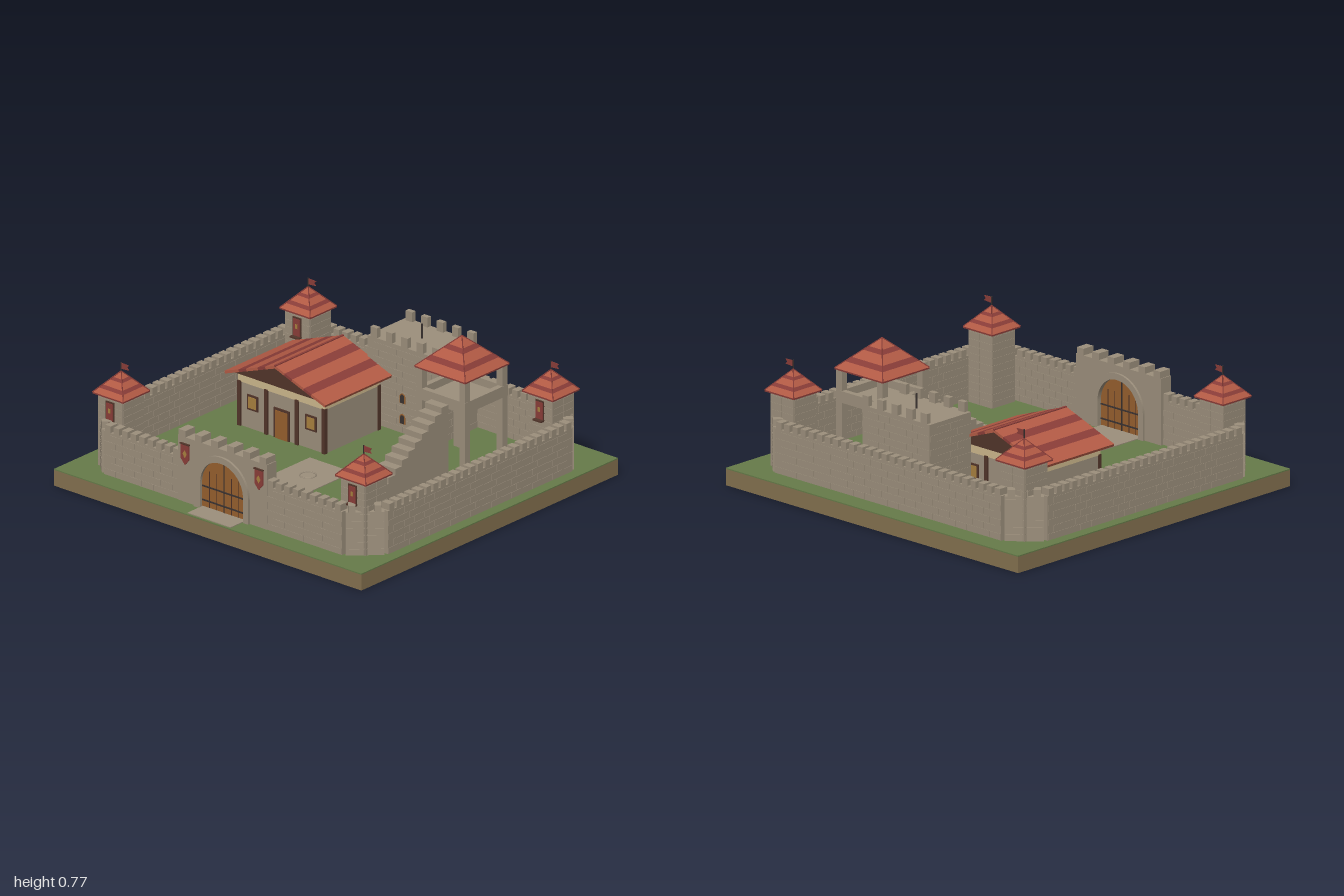
import * as THREE from 'three';
import { mergeGeometries } from 'three/addons/utils/BufferGeometryUtils.js';

const mat = (name, color) => Object.assign(new THREE.MeshStandardMaterial({ color }), { name });

export function createModel() {
  const stone = mat('stone', 0x9c8f7c), grass = mat('grass', 0x667b49), earth = mat('earth', 0x84714f);
  const tile = mat('roof tile', 0xb35b45), tileDark = mat('dark roof tile', 0x8a3d38);
  const wood = mat('door wood', 0x965f2e), timber = mat('dark timber', 0x52352a);
  const plaster = mat('plaster', 0xcdb88c), iron = mat('iron', 0x3a3230), gold = mat('gold', 0xa8803f);
  const model = new THREE.Group();
  model.name = 'fort';
  const G = 0.09; // ground level

  const add = (parent, name, geo, material, x = 0, y = 0, z = 0) => {
    const m = new THREE.Mesh(geo, material);
    m.name = name;
    m.position.set(x, y, z);
    parent.add(m);
    return m;
  };
  // box whose given y is its underside
  const box = (parent, name, material, w, h, d, x, y, z) =>
    add(parent, name, new THREE.BoxGeometry(w, h, d), material, x, y + h / 2, z);
  const group = (name, x = 0, y = 0, z = 0) => {
    const g = new THREE.Group();
    g.name = name;
    g.position.set(x, y, z);
    model.add(g);
    return g;
  };

  // Ground slab and path
  box(model, 'earthBase', earth, 2, 0.084, 1.92, 0, 0, 0);
  box(model, 'grassTop', grass, 2, 0.006, 1.92, 0, 0.084, 0);
  box(model, 'path', stone, 0.28, 0.004, 0.915, 0, G, 0.4925);
  const well = add(model, 'pathRing', new THREE.TorusGeometry(0.04, 0.004, 6, 24), stone, 0, G + 0.005, 0.21);
  well.rotation.x = Math.PI / 2;

  // Running-bond stones on both faces of a wall, centred on local x and z
  const bricks = (parent, length, height, depth) => {
    const list = [], rows = Math.round(height / 0.038), rowH = height / rows;
    for (let r = 0; r < rows; r++) {
      const n = Math.max(2, Math.floor(length / 0.075) - (r % 2)), pitch = length / Math.floor(length / 0.075 + 0.01);
      for (let i = 0; i < n; i++) for (const s of [-1, 1]) {
        const b = new THREE.BoxGeometry(pitch - 0.006, rowH - 0.006, 0.004);
        b.translate((i - (n - 1) / 2) * pitch, (r + 0.5) * rowH, s * depth / 2);
        list.push(b);
      }
    }
    return add(parent, 'stoneCourses', mergeGeometries(list), stone);
  };

  // Battlemented wall between two ground points
  const wall = (x1, z1, x2, z2) => {
    const g = group('curtainWall', (x1 + x2) / 2, G, (z1 + z2) / 2);
    g.rotation.y = -Math.atan2(z2 - z1, x2 - x1);
    const len = Math.hypot(x2 - x1, z2 - z1), n = Math.round(len / 0.055);
    box(g, 'wallBody', stone, len, 0.23, 0.05, 0, 0, 0);
    bricks(g, len, 0.22, 0.05);
    for (let i = 0; i < n; i++)
      box(g, 'merlon', stone, 0.036, 0.035, 0.05, ((i + 0.5) / n - 0.5) * len, 0.23, 0);
  };
  const X = 0.915, Z = 0.822, CX = 0.775, CZ = 0.69;
  for (const s of [-1, 1]) {
    wall(s * X, -CZ, s * X, CZ);
    wall(s * CX, Z, s * 0.28, Z);
    for (const t of [-1, 1]) wall(s * X, t * CZ, s * CX, t * Z);
  }
  wall(-CX, -Z, CX, -Z);

  // Banded pyramid roof with an eave slab
  const pyramid = (parent, size, y, h) => {
    box(parent, 'eave', tileDark, size, 0.008, size, 0, y, 0);
    const cuts = [0, 0.22, 0.36, 0.6, 0.72, 1];
    for (let i = 0; i < 5; i++) {
      const a = cuts[i], b = cuts[i + 1], r = size * Math.SQRT1_2, hh = (b - a) * h;
      const geo = new THREE.CylinderGeometry(r * (1 - b), r * (1 - a), hh, 4, 1, true).toNonIndexed();
      geo.rotateY(Math.PI / 4);
      geo.computeVertexNormals();
      add(parent, 'roofBand', geo, i % 2 ? tileDark : tile, 0, y + 0.008 + a * h + hh / 2, 0);
    }
    for (let i = 0; i < 4; i++) { // hip ridges
      const a = Math.PI / 4 + i * Math.PI / 2, e = size * Math.SQRT1_2;
      const curve = new THREE.LineCurve3(new THREE.Vector3(Math.cos(a) * e, y + 0.008, Math.sin(a) * e), new THREE.Vector3(0, y + 0.008 + h, 0));
      add(parent, 'hipRidge', new THREE.TubeGeometry(curve, 1, 0.003, 5), tileDark);
    }
  };

  // Corner towers, each with a red shuttered window, sill and flag
  for (const sx of [-1, 1]) for (const sz of [-1, 1]) {
    const t = group('cornerTower', sx * 0.79, 0, sz * 0.7);
    box(t, 'towerShaft', stone, 0.16, 0.385, 0.16, 0, G, 0);
    for (const q of [0, 1]) {
      const b = bricks(t, 0.16, 0.37, 0.16);
      b.position.y = G;
      b.rotation.y = q * Math.PI / 2;
    }
    pyramid(t, 0.2, 0.472, 0.108);
    box(t, 'windowFrame', timber, 0.054, 0.1, 0.006, 0, 0.35, 0.083);
    box(t, 'redShutter', tileDark, 0.044, 0.09, 0.006, 0, 0.352, 0.086);
    box(t, 'shutterEmblem', gold, 0.014, 0.024, 0.004, 0, 0.39, 0.089);
    box(t, 'sill', timber, 0.056, 0.008, 0.026, 0, 0.342, 0.093);
    add(t, 'flagPole', new THREE.CylinderGeometry(0.003, 0.003, 0.06, 6), iron, 0, 0.605, 0);
    const flag = new THREE.Shape([[0, 0], [0.052, 0.004], [0.04, 0.016], [0.052, 0.03], [0, 0.032]].map(p => new THREE.Vector2(...p)));
    add(t, 'flag', new THREE.ExtrudeGeometry(flag, { depth: 0.003, bevelEnabled: false }), tileDark, 0, 0.6, -0.0015);
  }

  // Gatehouse: arched opening, trim, door leaves and banners
  const gate = group('gatehouse', 0, G, 0);
  const arch = (S, r, rise) => {
    const p = new S();
    p.moveTo(-r, 0); p.lineTo(-r, rise);
    p.absarc(0, rise, r, Math.PI, 0, true);
    p.lineTo(r, 0); p.closePath();
    return p;
  };
  const extrude = (shape, depth) => new THREE.ExtrudeGeometry(shape, { depth, bevelEnabled: false, curveSegments: 24 });
  const body = new THREE.Shape([[-0.29, 0], [0.29, 0], [0.29, 0.345], [-0.29, 0.345]].map(p => new THREE.Vector2(...p)));
  body.holes.push(arch(THREE.Path, 0.145, 0.13));
  add(gate, 'gateWall', extrude(body, 0.07), stone, 0, 0, 0.78);
  const trim = arch(THREE.Shape, 0.178, 0.13);
  trim.holes.push(arch(THREE.Path, 0.145, 0.13));
  add(gate, 'archTrim', extrude(trim, 0.095), stone, 0, 0, 0.768);
  add(gate, 'gateDoor', extrude(arch(THREE.Shape, 0.146, 0.13), 0.03), wood, 0, 0, 0.805);
  for (let i = 0; i < 6; i++) box(gate, 'merlon', stone, 0.045, 0.034, 0.07, (i - 2.5) * 0.105, 0.345, 0.815);
  for (const z of [0.803, 0.837]) {
    box(gate, 'doorSeam', iron, 0.004, 0.268, 0.005, 0, 0, z);
    for (const y of [0.035, 0.11]) box(gate, 'ironStrap', iron, 0.285, 0.007, 0.006, 0, y, z);
    for (const x of [-0.095, -0.048, 0.048, 0.095]) box(gate, 'plankSeam', timber, 0.002, 0.2, 0.004, x, 0, z);
  }
  const banner = new THREE.Shape([[-0.026, 0.03], [0, 0], [0.026, 0.03], [0.026, 0.11], [-0.026, 0.11]].map(p => new THREE.Vector2(...p)));
  for (const s of [-1, 1]) {
    add(gate, 'banner', extrude(banner, 0.006), tileDark, s * 0.24, 0.2, 0.85);
    const e = add(gate, 'bannerEmblem', new THREE.CircleGeometry(0.014, 4), gold, s * 0.24, 0.258, 0.857);
    e.scale.y = 1.6;
    box(gate, 'bannerRod', timber, 0.06, 0.006, 0.012, s * 0.24, 0.308, 0.855);
  }

  // Keep against the back wall
  const keep = group('keep', 0, G, -0.645);
  box(keep, 'keepBody', stone, 0.46, 0.46, 0.29, 0, 0, 0);
  bricks(keep, 0.46, 0.44, 0.29);
  const sides = bricks(keep, 0.29, 0.44, 0.46);
  sides.rotation.y = Math.PI / 2;
  for (const s of [-1, 1]) for (let i = -2; i <= 2; i++)
    box(keep, 'merlon', stone, 0.042, 0.052, 0.026, i * 0.1 + 0.01, 0.46, s * 0.132);
  add(keep, 'mast', new THREE.CylinderGeometry(0.005, 0.005, 0.085, 8), iron, 0, 0.495, 0);
  for (const y of [0.05, 0.16]) {
    add(keep, 'windowFrame', extrude(arch(THREE.Shape, 0.018, 0.034), 0.005), wood, 0, y, 0.144);
    add(keep, 'window', extrude(arch(THREE.Shape, 0.012, 0.033), 0.007), iron, 0, y + 0.002, 0.144);
  }

  // Hall with a striped gable roof
  const hall = group('hall', -0.398, 0, -0.255);
  box(hall, 'hallWalls', stone, 0.56, 0.235, 0.4, 0, G, 0);
  box(hall, 'plasterBand', plaster, 0.565, 0.05, 0.41, 0, 0.325, 0);
  const gable = new THREE.Shape([[-0.31, 0], [0.31, 0], [0, 0.108]].map(p => new THREE.Vector2(...p)));
  add(hall, 'gable', extrude(gable, 0.45), timber, 0, 0.374, -0.225);
  const run = 0.327, rise = 0.118, ang = Math.atan2(rise, run), slope = Math.hypot(run, rise);
  const bands = [0, 0.19, 0.34, 0.57, 0.72, 1];
  for (const s of [-1, 1]) for (let i = 0; i < 5; i++) {
    const mid = (bands[i] + bands[i + 1]) / 2 * slope;
    const strip = add(hall, 'roofStripe', new THREE.BoxGeometry((bands[i + 1] - bands[i]) * slope, 0.014, 0.51),
      i % 2 ? tileDark : tile, s * mid * Math.cos(ang), 0.492 - mid * Math.sin(ang), 0);
    strip.rotation.z = -s * ang;
  }
  box(hall, 'ridgeBeam', tileDark, 0.012, 0.008, 0.512, 0, 0.494, 0);
  for (const sz of [-1, 1]) {
    for (const x of [-0.275, -0.1, 0.1, 0.275]) box(hall, 'timberPost', timber, 0.02, 0.24, 0.02, x, G, sz * 0.2);
    for (const x of [-0.19, 0.19]) {
      box(hall, 'windowFrame', timber, 0.07, 0.08, 0.008, x, 0.19, sz * 0.202);
      box(hall, 'windowPane', gold, 0.05, 0.06, 0.008, x, 0.2, sz * 0.204);
    }
  }
  box(hall, 'doorFrame', timber, 0.1, 0.16, 0.008, 0, G, 0.202);
  box(hall, 'hallDoor', wood, 0.08, 0.148, 0.008, 0, G, 0.205);

  // Watchtower on four legs
  const watch = group('watchtower', 0.45, 0, -0.425);
  for (const sx of [-1, 1]) {
    for (const sz of [-1, 1]) box(watch, 'leg', stone, 0.038, 0.515, 0.038, sx * 0.14, G, sz * 0.14);
    box(watch, 'sideParapet', stone, 0.03, 0.06, 0.32, sx * 0.145, 0.435, 0);
    box(watch, 'endParapet', stone, 0.32, 0.06, 0.03, 0, 0.435, sx * 0.145);
  }
  box(watch, 'platform', stone, 0.31, 0.02, 0.31, 0, 0.435, 0);
  pyramid(watch, 0.33, 0.6, 0.155);

  // Solid stair up to the platform
  const steps = 12, stair = group('stair', 0.45, G, 0);
  for (let i = 0; i < steps; i++) {
    const d = 0.595 / steps;
    box(stair, 'step', stone, 0.11, (i + 1) * 0.37 / steps, d, 0, 0, 0.335 - (i + 0.5) * d);
  }
  return model;
}
